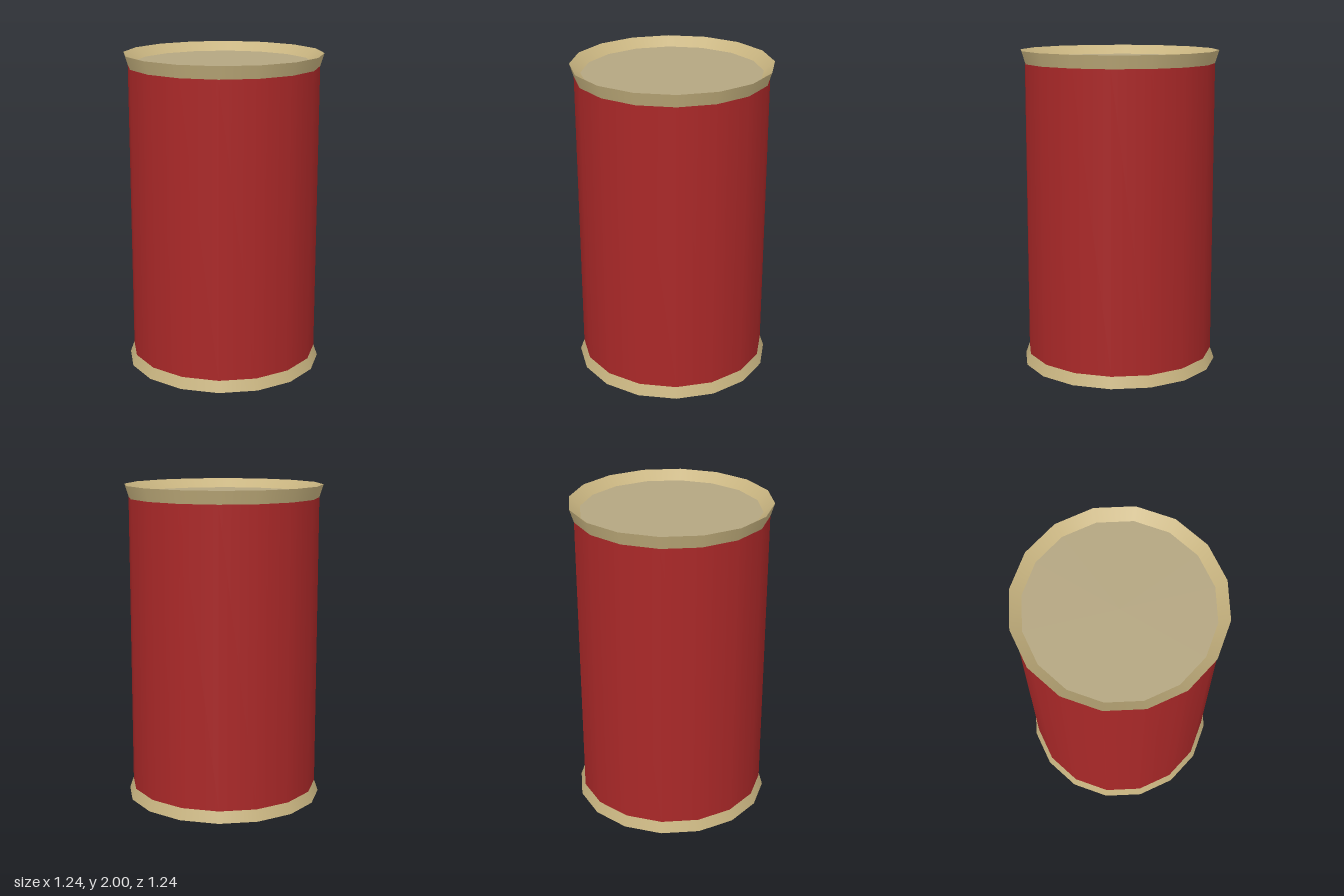
import * as THREE from 'three';

const SIDES = 16;
const BODY_R = 0.597, LIP_R = 0.622, LID_R = 0.556;
const HEIGHT = 2, BASE_H = 0.07, RIM_H = 0.08, RECESS = 0.057;

// One revolved band per pair of points, so the edges between bands stay sharp
function band(name, material, from, to) {
  const points = [new THREE.Vector2(...from), new THREE.Vector2(...to)];
  const mesh = new THREE.Mesh(new THREE.LatheGeometry(points, SIDES), material);
  mesh.name = name;
  return mesh;
}

export function createModel() {
  const red = new THREE.MeshStandardMaterial({ name: 'red paint', color: 0xaa2828 });
  const tan = new THREE.MeshStandardMaterial({ name: 'tan rim', color: 0xc8b480 });
  const lid = new THREE.MeshStandardMaterial({ name: 'greyish lid', color: 0xb4a681 });

  const group = new THREE.Group();
  group.name = 'can';
  group.add(
    // Flared foot with a flat underside
    band('underside', tan, [0, 0], [LIP_R, 0]),
    band('bottomRim', tan, [LIP_R, 0], [BODY_R, BASE_H]),
    // Straight wall
    band('body', red, [BODY_R, BASE_H], [BODY_R, HEIGHT - RIM_H]),
    // Flared lip sloping inward to a recessed lid
    band('topRimOuter', tan, [BODY_R, HEIGHT - RIM_H], [LIP_R, HEIGHT]),
    band('topRimInner', tan, [LIP_R, HEIGHT], [LID_R, HEIGHT - RECESS]),
    band('lid', lid, [LID_R, HEIGHT - RECESS], [0, HEIGHT - RECESS]),
  );
  return group;
}
